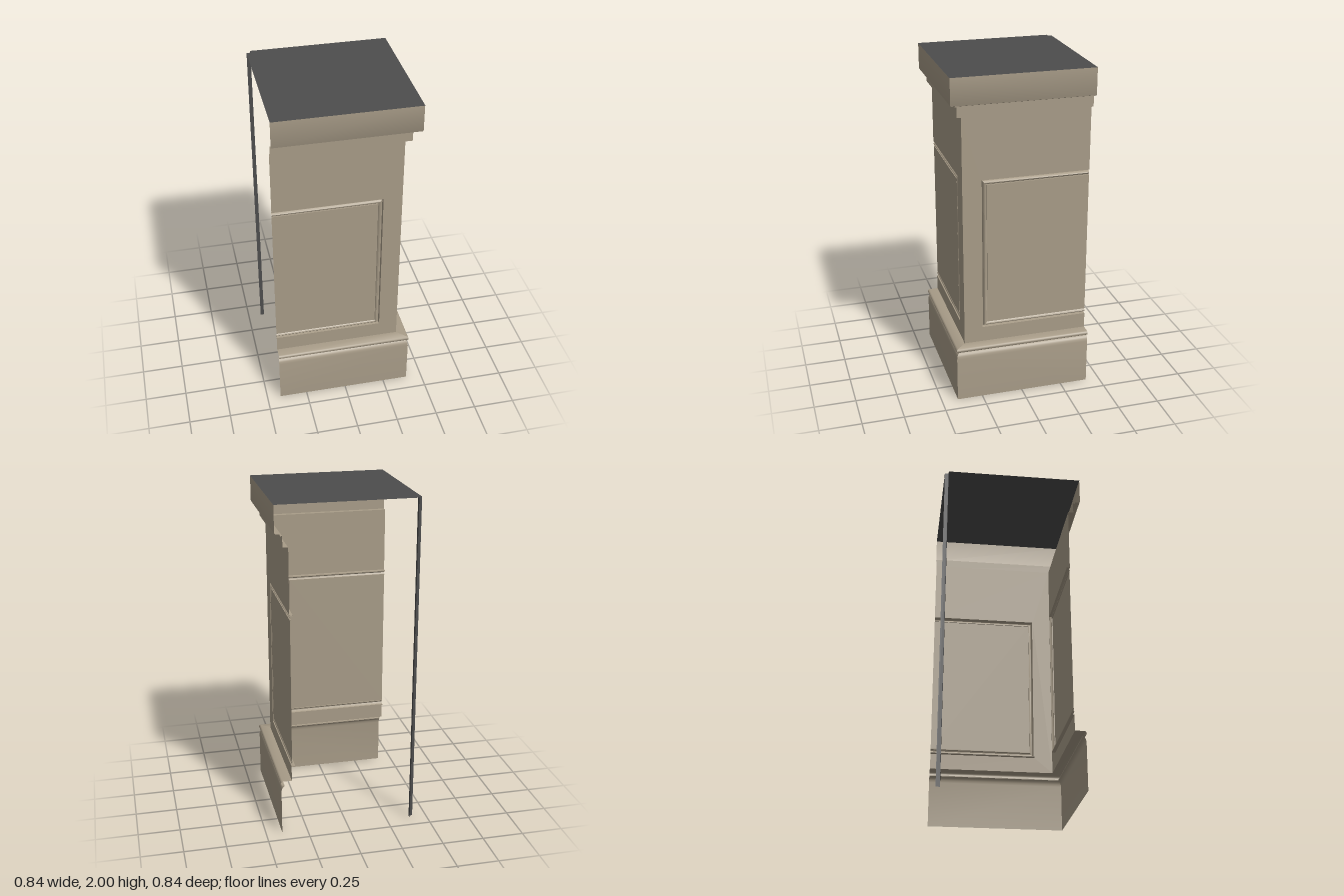
import * as THREE from 'three';
import { toCreasedNormals } from 'three/addons/utils/BufferGeometryUtils.js';

const END = -0.418; // open end of both walls
const FACE = 0.34; // distance of the shaft face from the axis
const stone = new THREE.MeshStandardMaterial({ color: 0xa89c88, side: THREE.DoubleSide });
const dark = new THREE.MeshStandardMaterial({ color: 0x4d4d4d, side: THREE.DoubleSide });

function mesh(name, geometry, material) {
  const m = new THREE.Mesh(geometry, material);
  m.name = name;
  return m;
}

// Surface through equal-length rows of [x, y, z] points
function skin(rows) {
  const n = rows[0].length;
  const index = [];
  for (let r = 0; r < rows.length - 1; r++) {
    for (let c = 0; c < n - 1; c++) {
      const a = r * n + c;
      index.push(a, a + 1, a + n + 1, a, a + n + 1, a + n);
    }
  }
  const g = new THREE.BufferGeometry();
  g.setAttribute('position', new THREE.Float32BufferAttribute(rows.flat(2), 3));
  g.setIndex(index);
  return toCreasedNormals(g, 0.7);
}

// Straight moulding whose profile [offset, height] is mitred at the corner
const moulding = (profile) => skin(profile.map(([o, y]) => [[END, y, o], [o, y, o]]));

function polygon(points) {
  return new THREE.ShapeGeometry(new THREE.Shape(points.map(([x, y]) => new THREE.Vector2(x, y))));
}

// Base profile: plinth, rounded shoulder, groove and bead
const baseProfile = [
  [0.403, 0], [0.403, 0.275], [0.401, 0.29], [0.396, 0.302], [0.388, 0.309], [0.384, 0.311],
  [0.384, 0.316], [0.396, 0.316], [0.403, 0.321], [0.406, 0.329], [0.403, 0.338],
  [0.396, 0.343], [FACE, 0.343],
];

// Cap profile: frieze, small cove and square top slab
const capProfile = [
  [FACE, 1.763], [0.372, 1.763], [0.372, 1.827], [0.385, 1.827], [0.385, 1.838],
  [0.406, 1.838], [0.413, 1.841], [0.416, 1.848], [0.416, 2],
];

// Panel frame profile: [distance inward, depth], a groove followed by a bead
const frameProfile = [
  [0, 0], [0.002, -0.02], [0.007, -0.02], [0.009, -0.01], [0.013, -0.003],
  [0.018, 0], [0.024, -0.003], [0.028, -0.009], [0.032, -0.009], [0.032, -0.003],
];

function wall(name) {
  const g = new THREE.Group();
  g.name = name;
  const side = 0.228, low = 0.437, high = 1.375, trim = 0.032;

  g.add(mesh('base', moulding(baseProfile), stone));
  g.add(mesh('cap', moulding(capProfile), stone));

  // Shaft face with an opening for the panel
  const shaft = polygon([
    [END, 0.343], [FACE, 0.343], [FACE, 1.763], [END, 1.763],
    [END, high], [side, high], [side, low], [END, low],
  ]);
  g.add(mesh('shaft', shaft.translate(0, 0, FACE), stone));

  // Three-sided frame around the panel
  const frame = skin(frameProfile.map(([d, h]) => [
    [END, low + d, FACE + h], [side - d, low + d, FACE + h],
    [side - d, high - d, FACE + h], [END, high - d, FACE + h],
  ]));
  g.add(mesh('panelFrame', frame, stone));

  const panel = polygon([
    [END, low + trim], [side - trim, low + trim], [side - trim, high - trim], [END, high - trim],
  ]);
  g.add(mesh('panel', panel.translate(0, 0, FACE - 0.003), stone));
  return g;
}

export function createModel() {
  const model = new THREE.Group();
  model.name = 'cornerPedestal';

  // The side wall mirrors the front wall across the diagonal
  model.add(wall('frontWall'));
  const sideWall = wall('sideWall');
  sideWall.scale.x = -1;
  sideWall.rotation.y = Math.PI / 2;
  model.add(sideWall);

  // Flat top with a small notch at the back corner
  const edge = 0.417, notch = -0.395;
  const top = polygon([
    [END, -edge], [edge, -edge], [edge, -END], [notch, -END], [notch, -notch], [END, -notch],
  ]);
  model.add(mesh('top', top.rotateX(-Math.PI / 2).translate(0, 2, 0), dark));

  // Thin angled post below the notch
  const post = skin([0, 2].map((y) => [[notch, y, END], [notch, y, notch], [END, y, notch]]));
  model.add(mesh('cornerPost', post, dark));
  return model;
}
